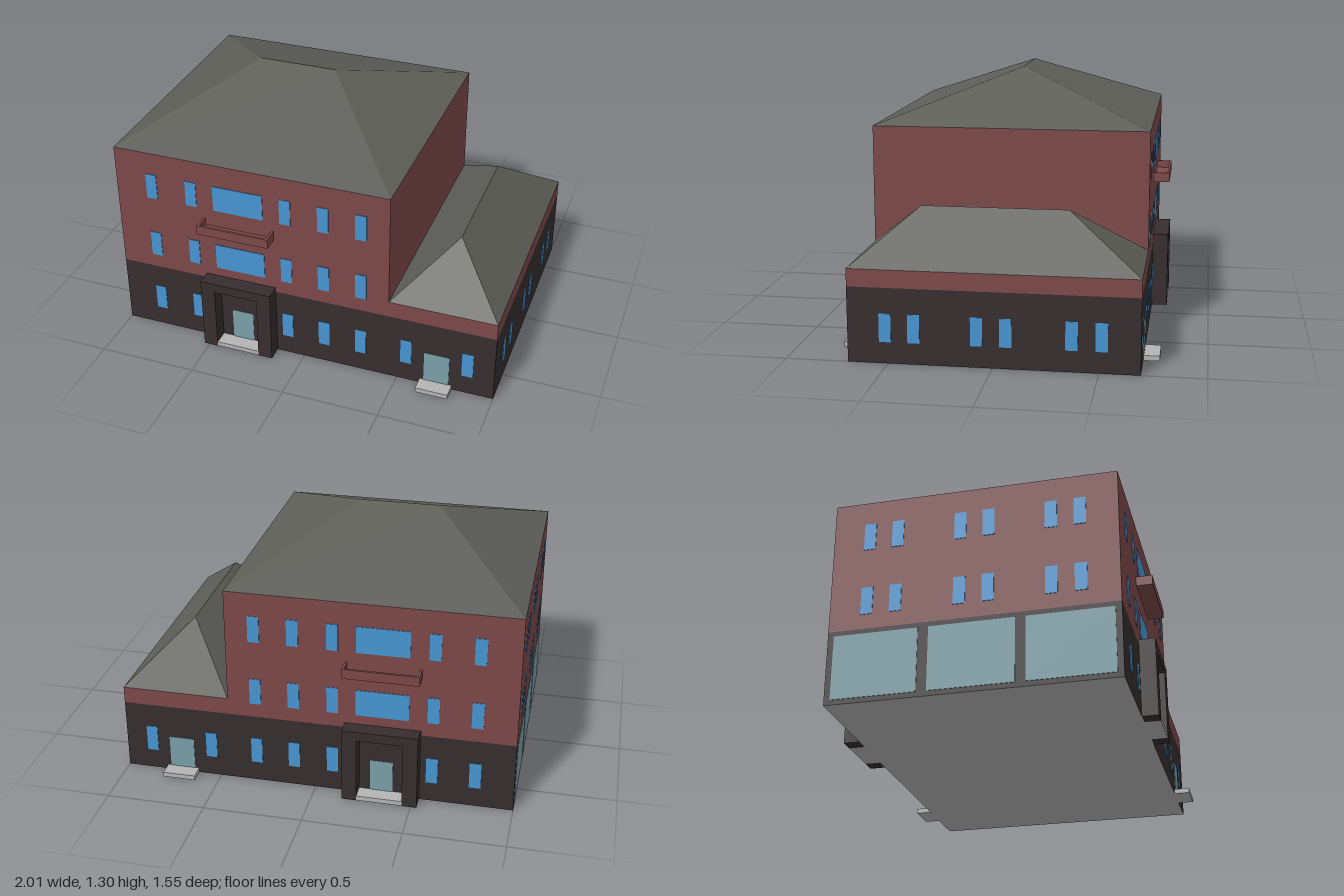
import * as THREE from 'three';

const mat = (name, color) => {
  const m = new THREE.MeshStandardMaterial({ color });
  m.name = name;
  return m;
};

export function createModel() {
  const brick = mat('brick red', 0x7c4848);
  const dark = mat('dark stone', 0x362d2e);
  const blue = mat('window blue', 0x4795d2);
  const glass = mat('door glass', 0x7a9ea6);
  const concrete = mat('concrete', 0xb4b4b4);
  const slate = mat('roof slate', 0x5e5f59);

  const model = new THREE.Group();
  model.name = 'building';

  // Box given by its lower and upper bounds on each axis
  const box = (name, material, x0, x1, y0, y1, z0, z1, parent = model) => {
    const mesh = new THREE.Mesh(new THREE.BoxGeometry(x1 - x0, y1 - y0, z1 - z0), material);
    mesh.position.set((x0 + x1) / 2, (y0 + y1) / 2, (z0 + z1) / 2);
    mesh.name = name;
    parent.add(mesh);
    return mesh;
  };

  const D = 0.695; // half depth of the building
  const T = 0.003; // how far painted plates stand out

  // Walls; the underside of the ground floor is concrete
  box('groundFloor', [dark, dark, dark, concrete, dark, dark], -1, 1, 0, 0.37, -D, D);
  box('upperFloors', brick, -1, 0.45, 0.37, 1.05, -D, D);
  box('wingParapet', brick, 0.45, 1, 0.37, 0.457, -D, D);

  // Hipped roof: eave corners 0-3 (front left, front right, back right, back left), ridge ends 4-5
  const hipRoof = (name, x0, x1, y, p, q, faces) => {
    const pts = [[x0, y, D], [x1, y, D], [x1, y, -D], [x0, y, -D], p, q];
    const pos = [];
    for (const f of faces) {
      for (let i = 1; i < f.length - 1; i++) pos.push(...pts[f[0]], ...pts[f[i]], ...pts[f[i + 1]]);
    }
    const geo = new THREE.BufferGeometry();
    geo.setAttribute('position', new THREE.Float32BufferAttribute(pos, 3));
    geo.computeVertexNormals();
    const roof = new THREE.Mesh(geo, slate);
    roof.name = name;
    model.add(roof);
  };
  hipRoof('mainRoof', -1, 0.45, 1.05, [-0.49, 1.305, 0], [-0.08, 1.305, 0],
    [[0, 1, 5, 4], [1, 2, 5], [2, 3, 4, 5], [3, 0, 4]]);
  hipRoof('wingRoof', 0.45, 1, 0.457, [0.725, 0.71, 0.39], [0.725, 0.71, -0.33],
    [[0, 1, 4], [1, 2, 5, 4], [2, 3, 5], [3, 0, 4, 5]]);

  // Window rows
  const rows = [[0.105, 0.245], [0.445, 0.585], [0.79, 0.93]];
  const mainX = [-0.805, -0.59, -0.0875, 0.11, 0.305];
  const wingX = [0.545, 0.8625];
  const sideZ = [0.5125, 0.375, 0.075, -0.0625, -0.3725, -0.5125];
  const W = 0.029; // half width of a narrow window

  // Front and back carry the same details
  for (const s of [1, -1]) {
    const side = new THREE.Group();
    side.name = s > 0 ? 'frontFacade' : 'backFacade';
    model.add(side);
    // Box measured outwards from the wall
    const part = (name, m, x0, x1, y0, y1, o0, o1) => {
      const a = s * (D + o0), b = s * (D + o1);
      return box(name, m, x0, x1, y0, y1, Math.min(a, b), Math.max(a, b), side);
    };

    rows.forEach(([y0, y1], i) => {
      const xs = i === 0 ? [...mainX, ...wingX] : mainX;
      for (const x of xs) part('window', blue, x - W, x + W, y0, y1, -T, T);
      if (i > 0) part('wideWindow', blue, -0.47, -0.205, y0, y1, -T, T);
    });

    // Doors and steps
    part('mainDoor', glass, -0.395, -0.28, 0.02, 0.195, -T, T);
    part('mainStep', concrete, -0.455, -0.225, 0, 0.025, 0, 0.079);
    part('wingDoor', glass, 0.64, 0.77, 0.02, 0.195, -T, T);
    part('wingStep', concrete, 0.62, 0.787, 0, 0.025, 0, 0.079);

    // Porch frame
    part('porchPillar', dark, -0.53, -0.455, 0, 0.345, 0, 0.08);
    part('porchPillar', dark, -0.225, -0.15, 0, 0.345, 0, 0.08);
    part('porchLintel', dark, -0.53, -0.15, 0.345, 0.395, 0, 0.08);

    // Balcony tray
    part('balconyFloor', brick, -0.53, -0.15, 0.685, 0.697, 0, 0.08);
    part('balconyRail', brick, -0.53, -0.15, 0.697, 0.735, 0.068, 0.08);
    part('balconyEnd', brick, -0.53, -0.518, 0.697, 0.735, 0, 0.068);
    part('balconyEnd', brick, -0.162, -0.15, 0.697, 0.735, 0, 0.068);
  }

  // Side windows: ground floor on the wing end, upper floors on the opposite end
  for (const z of sideZ) {
    box('wingEndWindow', blue, 1 - T, 1 + T, ...rows[0], z - W, z + W);
    for (const r of rows.slice(1)) box('sideWindow', blue, -1 - T, -1 + T, ...r, z - W, z + W);
  }

  // Three shop windows along the ground floor
  for (const z of [-0.46, 0, 0.46]) {
    box('shopWindow', glass, -1 - T, -1 + T, 0.025, 0.345, z - 0.205, z + 0.205);
  }

  return model;
}
